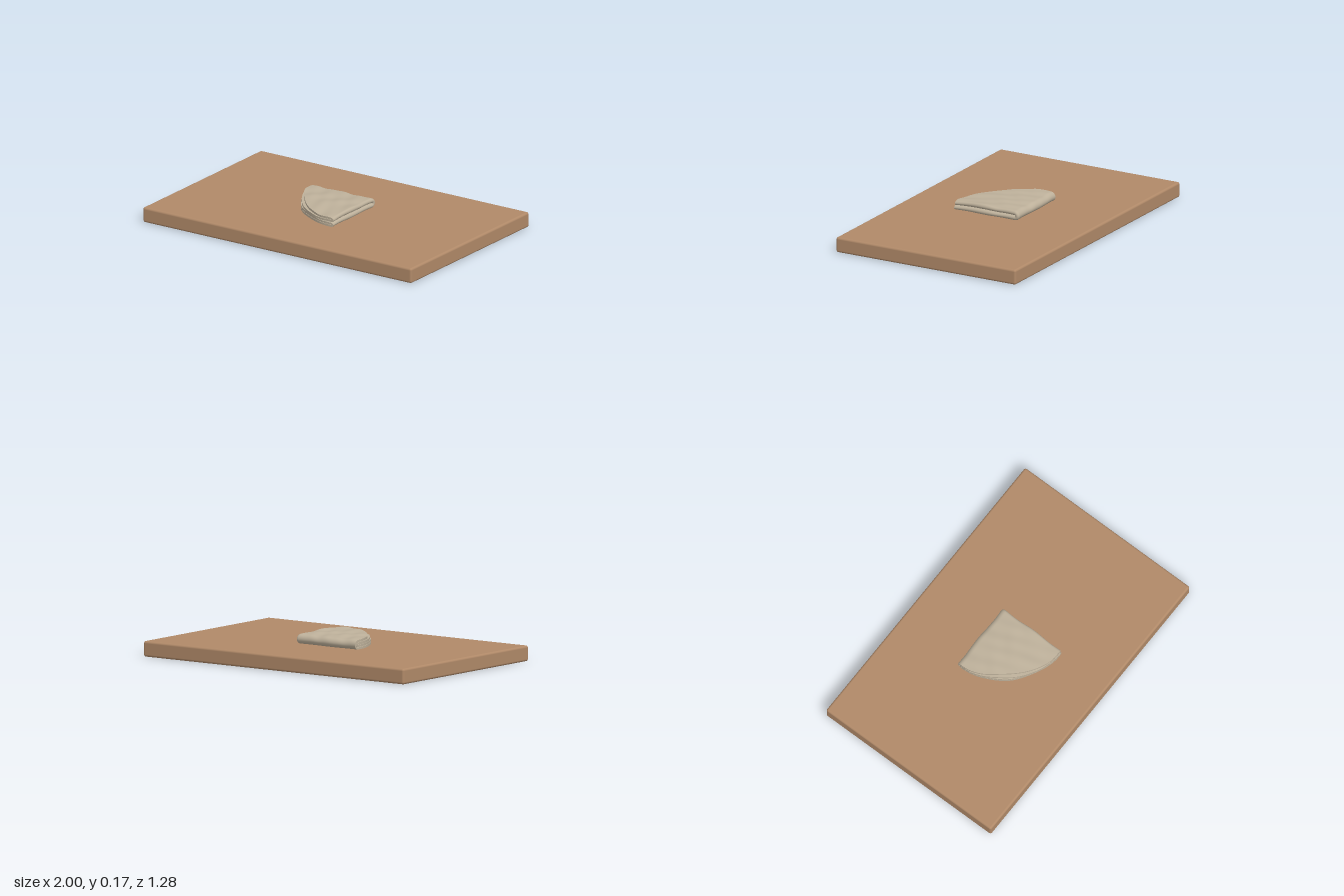
import * as THREE from 'three';
import { RoundedBoxGeometry } from 'three/addons/geometries/RoundedBoxGeometry.js';

const BOARD_TOP = 0.097;

// Bend a distance s around a fold of radius r; returns [distance out past the fold, height].
function fold(s, r, offset) {
  const half = Math.PI * r / 2;
  if (Math.abs(s) > half) return [half - Math.abs(s), Math.sign(s) * (r + offset)];
  return [(r + offset) * Math.cos(s / r), (r + offset) * Math.sin(s / r)];
}

// A thin round sheet folded in half along x, then in quarters along z
function foldedSheet() {
  const radius = 0.45, thick = 0.014, r1 = 0.008, r2 = 0.0165;
  const geometry = new THREE.BoxGeometry(2, 2, 2, 100, 100, 1);
  const pos = geometry.attributes.position;
  const cluster = t => Math.sign(t) * Math.pow(Math.abs(t), 1.8); // finer grid at the folds

  for (let i = 0; i < pos.count; i++) {
    const a = cluster(pos.getX(i)), b = cluster(pos.getY(i));
    const n = pos.getZ(i) * thick / 2;
    let u = a * Math.sqrt(1 - b * b / 2), v = b * Math.sqrt(1 - a * a / 2);

    // Slightly uneven rim; the uppermost quarter is a little shorter
    const angle = Math.atan2(v, u);
    const inset = u > 0 && v > 0 ? 0.04 * Math.pow(Math.sin(2 * angle), 2) : 0;
    const size = radius * (1 - inset + 0.006 * Math.sin(angle * 7));
    u *= size;
    v *= size;

    const [dx, h] = fold(u, r1, n);
    const [dz, hy] = fold(v, r2, h);
    const x = 0.157 + dx, z = -0.145 - dz;

    // Soft wrinkles and sagging ends, growing with height above the board
    const lift = hy + r2 + r1 + thick / 2;
    const sag = 1 - 0.1 * Math.pow((z - 0.04) / 0.24, 2) + 0.03 * Math.cos(z * 9);
    const wrinkle = 0.035 * Math.sin(x * 34 + z * 16 + Math.sin(z * 21))
      + 0.02 * Math.sin(x * 63 - z * 25);
    pos.setXYZ(i, x + 0.003 * Math.sin(z * 24), BOARD_TOP + 0.001 + lift * (sag + wrinkle),
      z + 0.003 * Math.sin(x * 20));
  }
  geometry.computeVertexNormals();
  return geometry;
}

export function createModel() {
  const group = new THREE.Group();
  const wood = new THREE.MeshStandardMaterial({ color: 0xb08968 });
  wood.name = 'wood';
  const dough = new THREE.MeshStandardMaterial({ color: 0xbdb09a });
  dough.name = 'dough';

  const board = new THREE.Mesh(new RoundedBoxGeometry(2, BOARD_TOP, 1.276, 4, 0.014), wood);
  board.name = 'board';
  board.position.y = BOARD_TOP / 2;

  const sheet = new THREE.Mesh(foldedSheet(), dough);
  sheet.name = 'foldedSheet';

  group.add(board, sheet);
  return group;
}
